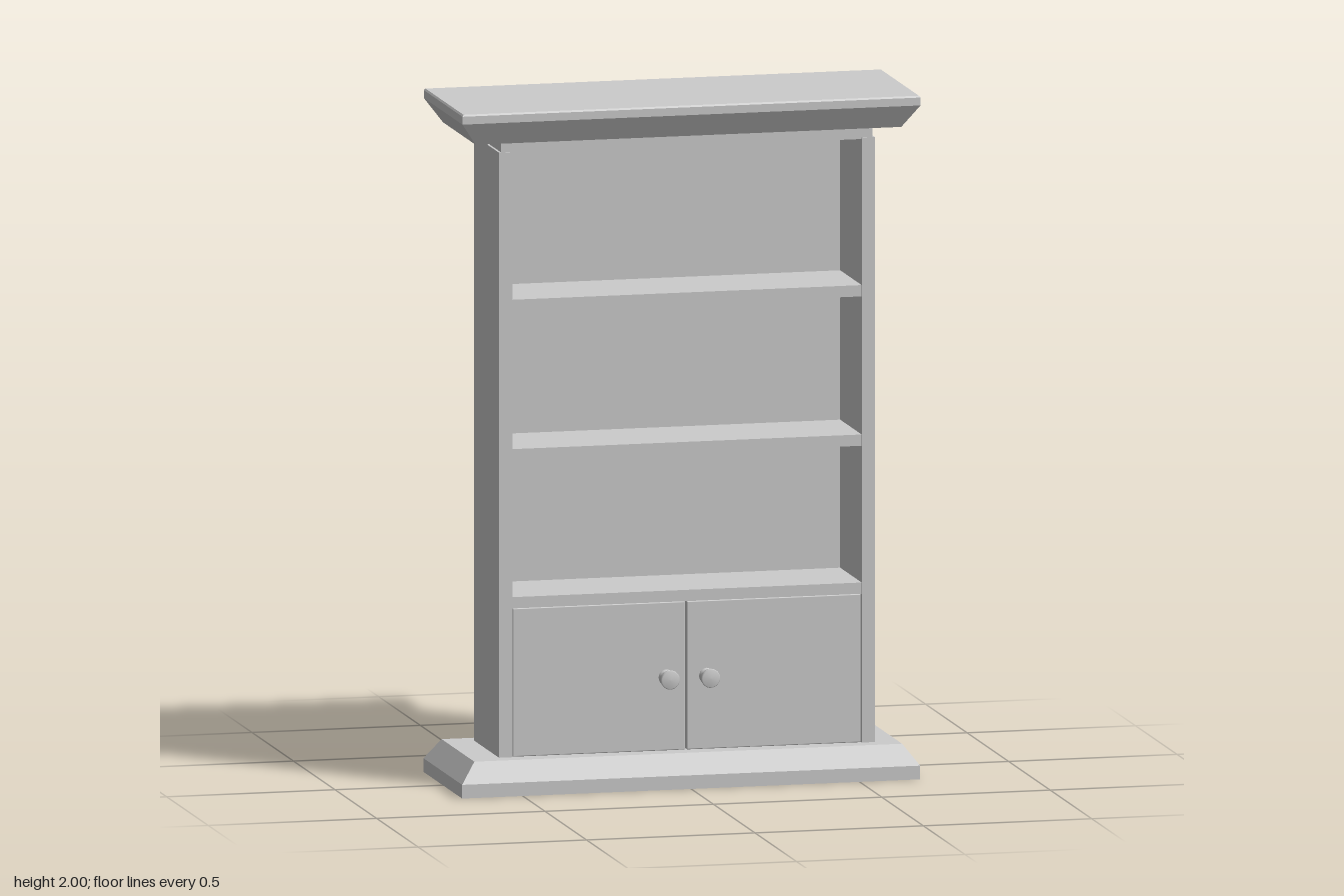
import * as THREE from 'three';
import { RoundedBoxGeometry } from 'three/addons/geometries/RoundedBoxGeometry.js';

const grey = new THREE.MeshStandardMaterial({ color: 0xcccccc });

export function createModel() {
  const model = new THREE.Group();

  const add = (name, geometry) => {
    const mesh = new THREE.Mesh(geometry, grey);
    mesh.name = name;
    model.add(mesh);
    return mesh;
  };

  // Box given by its limits on each axis, with an optional rounded edge
  const box = (name, [x0, x1], [y0, y1], [z0, z1], r = 0) => {
    const size = [x1 - x0, y1 - y0, z1 - z0];
    const geometry = r ? new RoundedBoxGeometry(...size, 2, r) : new THREE.BoxGeometry(...size);
    add(name, geometry).position.set((x0 + x1) / 2, (y0 + y1) / 2, (z0 + z1) / 2);
  };

  // Mitred moulding: rectangular sections [y, halfWidth, halfDepth] from bottom to top
  const moulding = (name, sections, zCentre) => {
    const rings = sections.map(([y, w, d]) =>
      [[-w, d], [w, d], [w, -d], [-w, -d]].map(([x, z]) => [x, y, z + zCentre]));
    const points = [];
    const quad = (a, b, c, d) => points.push(...a, ...b, ...c, ...a, ...c, ...d);
    for (let i = 0; i < rings.length - 1; i++) {
      for (let k = 0; k < 4; k++) {
        const n = (k + 1) % 4;
        quad(rings[i][k], rings[i][n], rings[i + 1][n], rings[i + 1][k]);
      }
    }
    quad(...rings[rings.length - 1]);
    quad(...[...rings[0]].reverse());
    const geometry = new THREE.BufferGeometry();
    geometry.setAttribute('position', new THREE.Float32BufferAttribute(points, 3));
    geometry.computeVertexNormals();
    add(name, geometry);
  };

  // Plinth and crown
  moulding('plinth', [[0, 0.68, 0.233], [0.04, 0.68, 0.233], [0.1, 0.635, 0.197]], 0);
  moulding('crown', [
    [1.905, 0.632, 0.196], [1.972, 0.68, 0.233], [1.995, 0.68, 0.233], [2, 0.676, 0.229],
  ], 0.004);
  box('frieze', [-0.543, 0.56], [1.865, 1.91], [-0.15, 0.147]);

  // Carcass
  box('rightSide', [-0.55, -0.51], [0.09, 1.87], [-0.15, 0.15]);
  box('leftSide', [0.527, 0.566], [0.09, 1.87], [-0.15, 0.15]);
  box('backPanel', [-0.55, 0.566], [0.09, 1.87], [-0.163, -0.14], 0.01);
  box('innerBack', [-0.512, 0.529], [0.09, 1.868], [-0.145, -0.11]);

  // Shelves
  for (const y of [0.535, 0.968, 1.405]) {
    box('shelf', [-0.512, 0.529], [y, y + 0.033], [-0.12, 0.149]);
  }

  // Doors, with a narrow gap between them
  box('rightDoor', [-0.508, 0.004], [0.1, 0.534], [0.11, 0.145], 0.003);
  box('leftDoor', [0.009, 0.525], [0.1, 0.534], [0.11, 0.145], 0.003);

  // Knobs: flared disc on a short neck
  const profile = [
    [0.023, 0], [0.023, 0.008], [0.016, 0.018], [0.017, 0.034],
    [0.027, 0.04], [0.028, 0.05], [0.025, 0.055], [0, 0.056],
  ].map(([r, h]) => new THREE.Vector2(r, h));
  for (const x of [-0.052, 0.068]) {
    const knob = add('knob', new THREE.LatheGeometry(profile, 24));
    knob.rotation.x = Math.PI / 2;
    knob.position.set(x, 0.314, 0.143);
  }

  return model;
}
